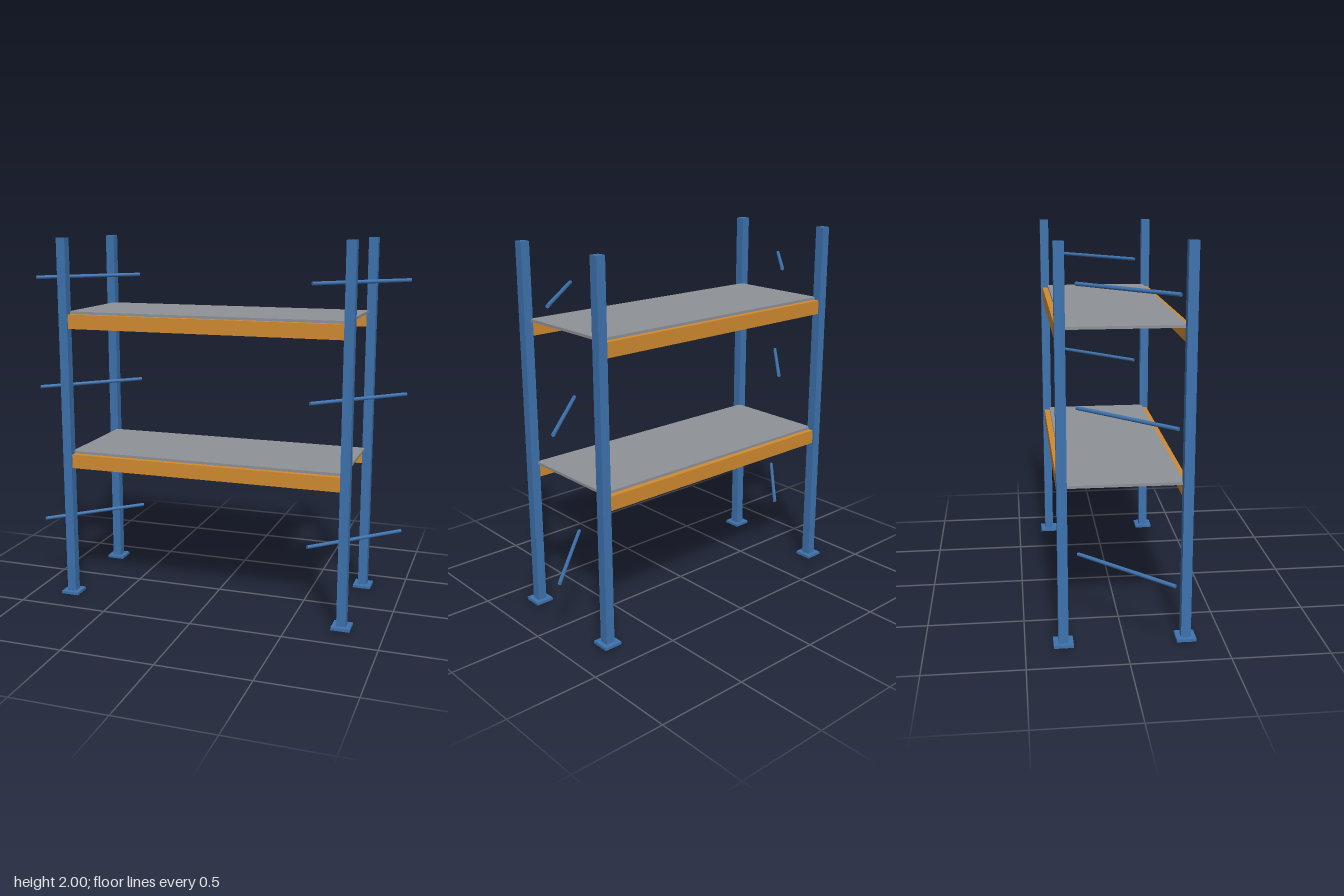
import * as THREE from 'three';

export function createModel() {
  const model = new THREE.Group();
  model.name = 'storageRack';

  const blue = new THREE.MeshStandardMaterial({ color: 0x3d72ae });
  const orange = new THREE.MeshStandardMaterial({ color: 0xd08a30 });
  const grey = new THREE.MeshStandardMaterial({ color: 0x8e9196 });

  const postX = 0.777, postZ = 0.309;

  function add(name, geometry, material, x, y, z) {
    const mesh = new THREE.Mesh(geometry, material);
    mesh.name = name;
    mesh.position.set(x, y, z);
    model.add(mesh);
    return mesh;
  }

  // Uprights with foot plates at the four corners
  const postGeo = new THREE.BoxGeometry(0.05, 2, 0.05);
  const plateGeo = new THREE.BoxGeometry(0.1, 0.015, 0.1);
  for (const sx of [-1, 1]) {
    for (const sz of [-1, 1]) {
      const corner = (sz > 0 ? 'front' : 'back') + (sx > 0 ? 'Left' : 'Right');
      add(corner + 'Post', postGeo, blue, sx * postX, 1, sz * postZ);
      add(corner + 'FootPlate', plateGeo, blue, sx * postX, 0.0145, sz * postZ);
    }
  }

  // Two levels: a pair of long beams with a thin deck between them
  const beamGeo = new THREE.BoxGeometry(1.53, 0.077, 0.031);
  const deckGeo = new THREE.BoxGeometry(1.528, 0.014, 0.587);
  [['lower', 0.82], ['upper', 1.594]].forEach(([level, top]) => {
    add(level + 'FrontBeam', beamGeo, orange, 0, top - 0.0385, postZ);
    add(level + 'BackBeam', beamGeo, orange, 0, top - 0.0385, -postZ);
    add(level + 'Deck', deckGeo, grey, 0, top + 0.007, 0);
  });

  // Horizontal round rods, turned 45 degrees across each end
  const rodGeo = new THREE.CylinderGeometry(0.01, 0.01, 0.61, 12).rotateZ(Math.PI / 2);
  for (const sx of [-1, 1]) {
    [0.393, 1.169, 1.781].forEach((y, i) => {
      const rod = add((sx > 0 ? 'left' : 'right') + 'Brace' + (i + 1), rodGeo, blue, sx * postX, y, 0);
      rod.rotation.y = Math.PI / 4;
    });
  }

  return model;
}
